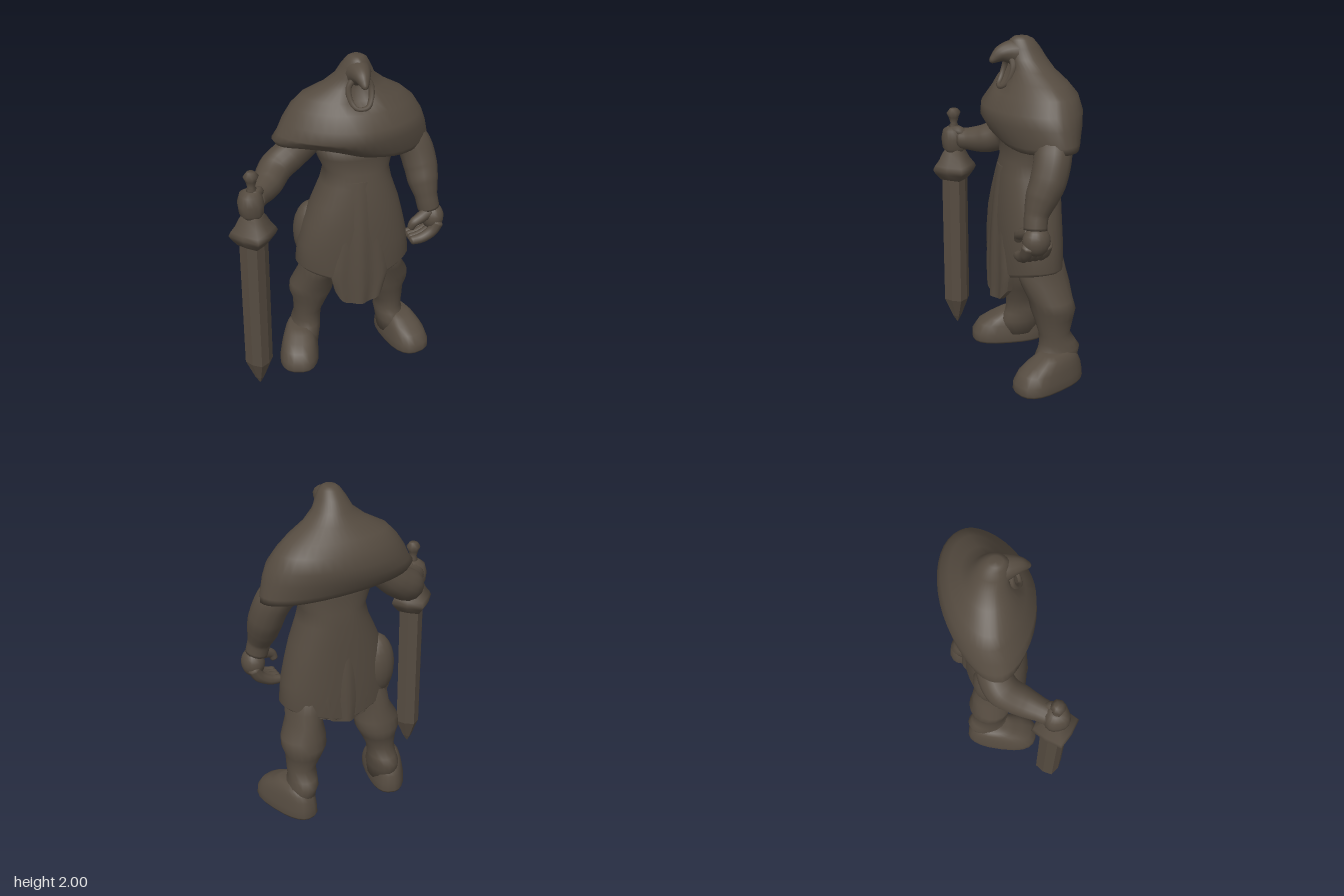
import * as THREE from 'three';
import { mergeVertices } from 'three/addons/utils/BufferGeometryUtils.js';

const brown = new THREE.MeshStandardMaterial({ color: 0x554b40 });
brown.name = 'dark brown';
const MID = 0.125; // body's own middle line in x

function add(group, name, geometry) {
  const mesh = new THREE.Mesh(geometry, brown);
  mesh.name = name;
  group.add(mesh);
  return mesh;
}

// Closed skin through horizontal rings [y, xMin, xMax, zBack, zFront], listed top to bottom
function loft(rings, { p = 2, pBack = p, seg = 28, flat = false, mod = null } = {}) {
  const pos = [], index = [];
  const bend = (c, q) => Math.sign(c) * Math.abs(c) ** (2 / q);
  const v = new THREE.Vector3();
  const push = (x, y, z, ring) => {
    v.set(x, y, z);
    if (mod) mod(v, ring);
    pos.push(v.x, v.y, v.z);
  };
  rings.forEach(([y, x0, x1, z0, z1], r) => {
    for (let j = 0; j < seg; j++) {
      const a = (j / seg) * Math.PI * 2, q = j > seg / 2 ? pBack : p;
      push((x0 + x1) / 2 + (x1 - x0) / 2 * bend(Math.cos(a), q), y,
        (z0 + z1) / 2 + (z1 - z0) / 2 * bend(Math.sin(a), q), r);
      if (r === rings.length - 1) continue;
      const A = r * seg + j, B = r * seg + (j + 1) % seg;
      index.push(A, B, A + seg, B, B + seg, A + seg);
    }
  });
  const last = rings.length - 1, top = rings.length * seg;
  for (const r of [0, last]) {
    const [y, x0, x1, z0, z1] = rings[r];
    push((x0 + x1) / 2, y, (z0 + z1) / 2, r);
  }
  for (let j = 0; j < seg; j++) {
    const k = (j + 1) % seg;
    index.push(top, k, j, top + 1, last * seg + j, last * seg + k);
  }
  let g = new THREE.BufferGeometry();
  g.setAttribute('position', new THREE.Float32BufferAttribute(pos, 3));
  g.setIndex(index);
  if (flat) g = g.toNonIndexed();
  g.computeVertexNormals();
  return g;
}

// Round limb along points [x, y, z, radius], closed at both ends
function limb(points, seg = 14) {
  const beyond = (e, d) => [0, 1, 2].map((i) => e[i] + (e[i] - d[i]) * 0.15).concat(0.001);
  const n0 = points.length;
  const pts = [beyond(points[0], points[1]), ...points, beyond(points[n0 - 1], points[n0 - 2])];
  const curve = new THREE.CatmullRomCurve3(pts.map((q) => new THREE.Vector3(q[0], q[1], q[2])));
  const n = pts.length * 5;
  let g = new THREE.TubeGeometry(curve, n, 1, seg);
  const P = g.attributes.position, v = new THREE.Vector3();
  for (let i = 0; i <= n; i++) {
    const c = curve.getPointAt(i / n);
    const t = curve.getUtoTmapping(i / n) * (pts.length - 1);
    const k = Math.min(Math.floor(t), pts.length - 2);
    const r = THREE.MathUtils.lerp(pts[k][3], pts[k + 1][3], t - k);
    for (let j = 0; j <= seg; j++) {
      const id = i * (seg + 1) + j;
      v.fromBufferAttribute(P, id).sub(c).multiplyScalar(r).add(c);
      P.setXYZ(id, v.x, v.y, v.z);
    }
  }
  g.deleteAttribute('uv');
  g.deleteAttribute('normal');
  g = mergeVertices(g, 1e-5);
  g.computeVertexNormals();
  return g;
}

function ball(group, name, [x, y, z], [rx, ry, rz]) {
  const g = new THREE.SphereGeometry(1, 18, 12);
  g.scale(rx, ry, rz);
  g.translate(x, y, z);
  return add(group, name, g);
}

// Pleated cloth panel with a rounded hem
function panel(yTop, yBottom, z, side) {
  const g = new THREE.BoxGeometry(2, 1, 0.03, 16, 10, 1);
  const P = g.attributes.position;
  for (let i = 0; i < P.count; i++) {
    const u = P.getX(i), t = 0.5 - P.getY(i);
    const half = 0.115 + 0.065 * Math.min(1, t * 1.25) - 0.03 * Math.max(0, t - 0.8) * 5;
    const y = yTop + (yBottom - yTop) * t + 0.08 * t ** 3 * u ** 4;
    const fold = 0.01 * Math.cos(u * 8) * t - 0.04 * u * u - 0.05 * (1 - t) ** 3;
    P.setXYZ(i, MID + u * half, y, z + P.getZ(i) + side * fold);
  }
  g.deleteAttribute('uv');
  g.computeVertexNormals();
  return g;
}

function buildLeg(group, name, mirror) {
  const fx = (x) => (mirror ? 2 * MID - x : x);
  const rings = [
    [0.88, -0.15, 0.07, -0.17, 0.08], [0.68, -0.2, 0.02, -0.205, 0.092],
    [0.6, -0.205, 0.005, -0.225, 0.066], [0.51, -0.255, 0.018, -0.235, 0.027],
    [0.45, -0.258, 0.015, -0.252, 0.015], [0.39, -0.237, -0.015, -0.24, -0.005],
    [0.3, -0.232, -0.058, -0.212, -0.027], [0.24, -0.232, -0.06, -0.25, -0.028],
    [0.2, -0.242, -0.06, -0.275, -0.018], [0.15, -0.25, -0.068, -0.262, 0.01], [0.06, -0.24, -0.08, -0.24, 0],
  ].map(([y, a, b, c, d]) => [y, Math.min(fx(a), fx(b)), Math.max(fx(a), fx(b)), c, d]);
  add(group, name + 'Leg', loft(rings, { seg: 18 }));
  // Boot, turned outwards and wider at the toe
  const foot = add(group, name + 'Foot', loft([
    [0.2, -0.065, 0.065, -0.14, 0.04], [0.178, -0.085, 0.085, -0.18, 0.08],
    [0.15, -0.098, 0.098, -0.2, 0.135], [0.115, -0.107, 0.107, -0.218, 0.19],
    [0.06, -0.117, 0.117, -0.228, 0.225], [0.015, -0.119, 0.119, -0.232, 0.228],
    [0, -0.112, 0.112, -0.225, 0.22],
  ], { p: 2.6, seg: 22, mod: (v) => { v.x *= 1 + v.z * 0.65; } }));
  foot.position.set(fx(-0.212), 0, -0.058);
  foot.rotation.y = mirror ? 0.28 : -0.28;
}

function buildSword(group) {
  const sx = -0.523, sz = 0.18;
  const bar = (name, profile, p, flat) => add(group, name, loft(
    profile.map(([y, r]) => [y, sx - r, sx + r, sz - r, sz + r]), { p, seg: 8, flat }));
  bar('swordPommel', [[1.46, 0.025], [1.435, 0.046], [1.405, 0.032], [1.37, 0.022], [1.32, 0.04]], 1.7, false);
  bar('swordGrip', [[1.36, 0.028], [1.15, 0.04]], 2, false);
  bar('swordGuard', [[1.21, 0.055], [1.18, 0.078], [1.135, 0.102], [1.1, 0.13], [1.075, 0.142],
    [1.05, 0.128], [1.01, 0.095], [1.0, 0.07]], 1.15, false);
  bar('swordBlade', [[1.04, 0.084], [0.18, 0.084], [0.05, 0.03], [0.005, 0.004]], 1.4, true);
}

// Drape of the cape: shoulders swept back, face hollowed, hem lower on its left
function drapeCape(v, ring) {
  const dx = v.x - MID;
  v.z -= 0.14 * dx * dx;
  if (v.z > 0.03 && v.y > 1.74 && v.y < 1.9) v.z -= 0.035 * Math.exp(-((dx / 0.05) ** 4));
  if (ring > 8) {
    const front = THREE.MathUtils.smoothstep(v.z, -0.1, 0.1);
    v.y -= 0.055 * dx + 0.032 * front * Math.sin(THREE.MathUtils.clamp(dx * 6, -Math.PI, Math.PI));
  }
}

export function createModel() {
  const model = new THREE.Group();
  model.name = 'hoodedSwordsman';

  // Hooded cape
  add(model, 'hoodedCape', loft([
    [2.0, 0.095, 0.165, -0.05, 0.03], [1.985, 0.075, 0.19, -0.08, 0.055],
    [1.94, 0.045, 0.215, -0.118, 0.075], [1.88, 0.015, 0.245, -0.155, 0.075],
    [1.82, -0.06, 0.32, -0.195, 0.078], [1.76, -0.175, 0.425, -0.255, 0.11],
    [1.7, -0.23, 0.495, -0.3, 0.145], [1.62, -0.285, 0.545, -0.322, 0.203],
    [1.55, -0.318, 0.57, -0.312, 0.205], [1.49, -0.345, 0.59, -0.288, 0.178],
    [1.455, -0.322, 0.595, -0.268, 0.145], [1.425, -0.1, 0.365, -0.195, 0.095],
  ], { seg: 40, p: 1.75, pBack: 2, mod: drapeCape }));

  // Hood peak hooking forward, with the rim of the face opening below it
  add(model, 'hoodPeak', limb([
    [0.13, 1.905, -0.01, 0.09], [0.13, 1.915, 0.06, 0.064],
    [0.13, 1.908, 0.11, 0.046], [0.13, 1.885, 0.148, 0.027], [0.13, 1.868, 0.17, 0.012]]));
  add(model, 'faceOpeningRim', limb([
    [0.095, 1.89, 0.06, 0.018], [0.066, 1.84, 0.06, 0.018], [0.07, 1.77, 0.084, 0.017],
    [0.1, 1.73, 0.112, 0.014], [0.16, 1.73, 0.112, 0.014], [0.19, 1.77, 0.084, 0.017],
    [0.194, 1.84, 0.06, 0.018], [0.165, 1.89, 0.06, 0.018]], 8));

  // Torso flaring into the skirt, hem longer at the front and back
  add(model, 'torsoAndSkirt', loft([
    [1.52, -0.12, 0.38, -0.2, 0.12], [1.4, -0.09, 0.365, -0.198, 0.095],
    [1.31, -0.05, 0.34, -0.208, 0.105], [1.23, -0.07, 0.355, -0.218, 0.125],
    [1.1, -0.13, 0.4, -0.222, 0.142], [0.98, -0.18, 0.43, -0.224, 0.152],
    [0.85, -0.215, 0.46, -0.224, 0.154], [0.71, -0.23, 0.475, -0.225, 0.152],
    [0.69, -0.21, 0.455, -0.215, 0.14], [0.78, -0.12, 0.37, -0.15, 0.08],
  ], {
    seg: 36, p: 2.3,
    mod: (v, r) => { if (r === 7 || r === 8) v.y -= 0.1 * Math.max(0, 1 - Math.abs(v.x - MID) / 0.33); },
  }));
  add(model, 'frontPanel', panel(1.27, 0.465, 0.155, 1));
  add(model, 'backPanel', panel(1.29, 0.6, -0.216, -1));
  ball(model, 'hipFlap', [-0.115, 0.87, -0.11], [0.112, 0.2, 0.105]);

  buildLeg(model, 'right', false);
  buildLeg(model, 'left', true);

  // Right arm reaching out to the sword
  add(model, 'rightArm', limb([
    [-0.12, 1.5, -0.1, 0.095], [-0.23, 1.4, -0.11, 0.1], [-0.325, 1.335, -0.085, 0.1],
    [-0.4, 1.285, 0.01, 0.09], [-0.47, 1.272, 0.1, 0.07], [-0.51, 1.27, 0.15, 0.066]]));
  add(model, 'rightFist', loft([
    [1.345, -0.56, -0.485, 0.14, 0.22], [1.325, -0.59, -0.465, 0.11, 0.245],
    [1.27, -0.605, -0.455, 0.1, 0.255], [1.21, -0.598, -0.46, 0.105, 0.25],
    [1.18, -0.57, -0.48, 0.13, 0.23],
  ], { p: 2.5, seg: 16 }));
  add(model, 'rightThumb', limb([
    [-0.475, 1.29, 0.12, 0.034], [-0.482, 1.325, 0.16, 0.03], [-0.515, 1.325, 0.21, 0.024]], 8));
  buildSword(model);

  // Left arm hanging, hand half closed
  add(model, 'leftArm', limb([
    [0.42, 1.5, -0.08, 0.1], [0.5, 1.4, -0.05, 0.105], [0.533, 1.28, -0.01, 0.102],
    [0.54, 1.19, 0.03, 0.092], [0.552, 1.1, 0.065, 0.068], [0.568, 1.02, 0.078, 0.066]]));
  ball(model, 'leftPalm', [0.592, 0.965, 0.08], [0.068, 0.085, 0.08]);
  for (let i = 0; i < 4; i++) {
    const z = 0.03 + i * 0.034;
    add(model, 'leftFinger', limb([
      [0.61, 0.95, z, 0.038], [0.575, 0.89, z, 0.036],
      [0.51, 0.85, z, 0.032], [0.445, 0.84, z, 0.026]], 8));
  }
  add(model, 'leftThumb', limb([
    [0.56, 1.01, 0.1, 0.04], [0.505, 0.985, 0.12, 0.035],
    [0.455, 0.96, 0.13, 0.028], [0.44, 0.925, 0.125, 0.022]], 8));

  return model;
}
